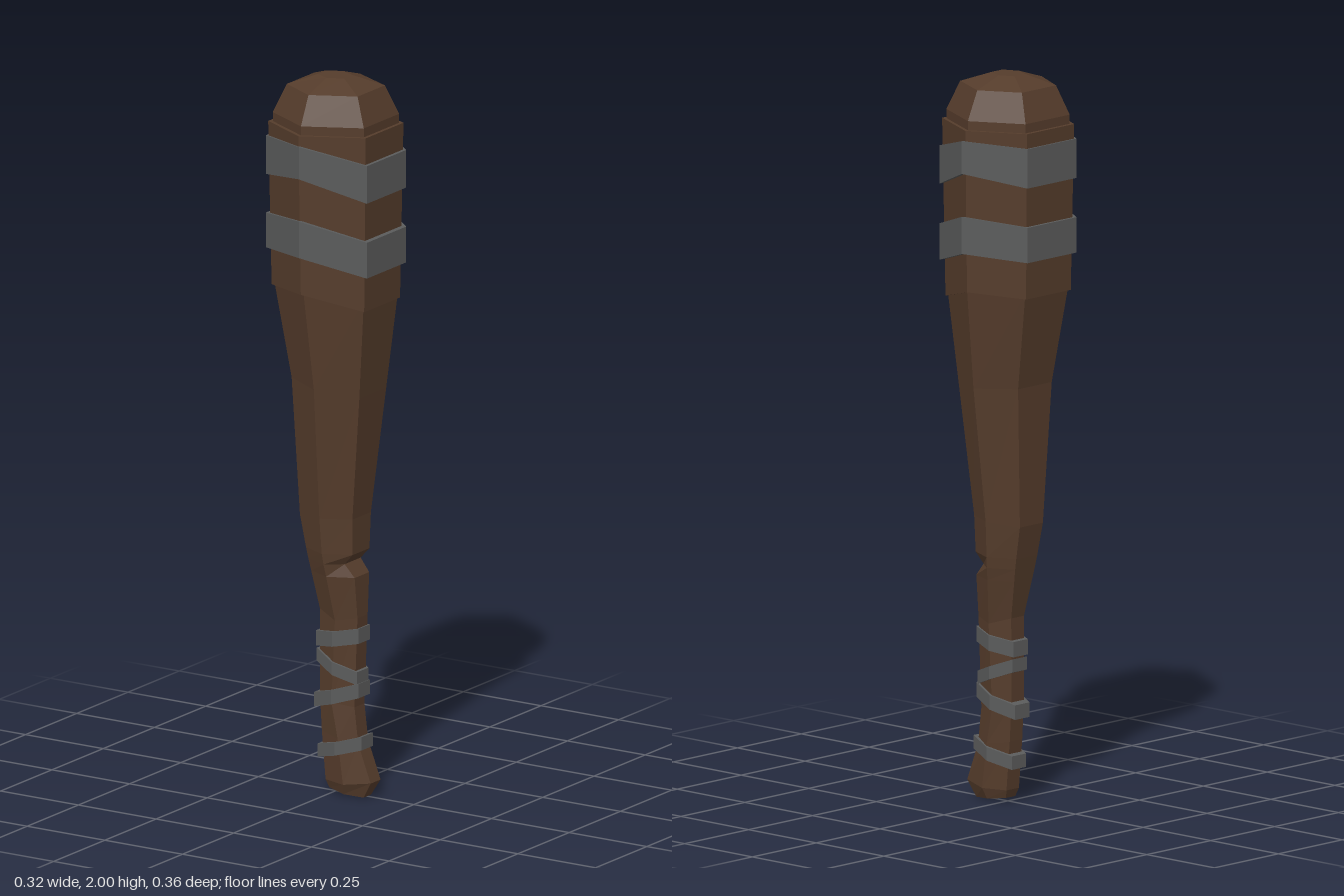
import * as THREE from 'three';

const wood = new THREE.MeshStandardMaterial({ color: 0x553c2b });
wood.name = 'dark wood';
const iron = new THREE.MeshStandardMaterial({ color: 0x5a5b5b });
iron.name = 'grey binding';

// Six corners of a cross-section: points at +z and -z, flat sides at +x and -x.
// Each ring is [leftX, leftY, middleX, middleY, rightX, rightY, halfDepth].
function corners([xl, yl, xm, ym, xr, yr, rz]) {
  const h = rz * 0.53;
  return [
    [xm, ym, rz], [xr, yr, h], [xr, yr, -h],
    [xm, ym, -rz], [xl, yl, -h], [xl, yl, h],
  ].map((p) => new THREE.Vector3(...p));
}

// Closed faceted solid through rings listed from bottom to top.
function loft(name, rings, material) {
  const loops = rings.map(corners);
  const centre = (loop) =>
    loop.reduce((sum, p) => sum.add(p), new THREE.Vector3()).divideScalar(loop.length);
  const bottom = loops[0];
  const top = loops[loops.length - 1];
  const cb = centre(bottom);
  const ct = centre(top);
  const points = [];
  for (let i = 0; i < 6; i++) {
    const j = (i + 1) % 6;
    points.push(cb, bottom[j], bottom[i], ct, top[i], top[j]);
    for (let k = 0; k < loops.length - 1; k++) {
      const a = loops[k], b = loops[k + 1];
      points.push(a[i], a[j], b[j], a[i], b[j], b[i]);
    }
  }
  const geometry = new THREE.BufferGeometry().setFromPoints(points);
  geometry.computeVertexNormals();
  const mesh = new THREE.Mesh(geometry, material);
  mesh.name = name;
  return mesh;
}

// Flat strap around the club; heights are given at its left, middle and right.
function strap(name, xl, xr, rz, low, high) {
  const xm = (xl + xr) / 2;
  const ring = ([l, m, r]) => [xl, l, xm, m, xr, r, rz];
  return loft(name, [ring(low), ring(high)], iron);
}

export function createModel() {
  const club = new THREE.Group();
  club.name = 'club';

  // Crooked handle and tapering shaft, with a nick on the +x side
  club.add(loft('shaft', [
    [-0.01, 0.012, 0.045, 0.005, 0.1, 0, 0.034],
    [-0.018, 0.035, 0.052, 0.035, 0.127, 0.045, 0.046],
    [-0.03, 0.17, 0.035, 0.16, 0.087, 0.15, 0.046],
    [-0.036, 0.27, 0.015, 0.26, 0.075, 0.25, 0.046],
    [-0.036, 0.51, 0.027, 0.49, 0.085, 0.5, 0.047],
    [-0.057, 0.615, 0.012, 0.615, 0.083, 0.615, 0.067],
    [-0.064, 0.65, 0.008, 0.65, 0.053, 0.65, 0.074],
    [-0.07, 0.68, 0.005, 0.68, 0.08, 0.68, 0.078],
    [-0.087, 0.77, 0.002, 0.78, 0.082, 0.78, 0.085],
    [-0.1, 1.155, 0.01, 1.15, 0.118, 1.13, 0.124],
    [-0.145, 1.43, 0, 1.43, 0.145, 1.41, 0.16],
  ], wood));

  // Thick sleeve around the head
  club.add(loft('headSleeve', [
    [-0.15, 1.412, -0.005, 1.423, 0.148, 1.38, 0.165],
    [-0.158, 1.868, -0.007, 1.868, 0.156, 1.868, 0.174],
  ], wood));

  // Faceted rounded tip
  club.add(loft('headTip', [
    [-0.147, 1.85, -0.006, 1.85, 0.146, 1.85, 0.163],
    [-0.147, 1.893, -0.006, 1.893, 0.146, 1.893, 0.163],
    [-0.115, 1.972, -0.006, 1.972, 0.113, 1.972, 0.126],
    [-0.045, 2, -0.004, 2, 0.04, 2, 0.04],
  ], wood));

  // Two broad straps on the head
  club.add(strap('upperHeadStrap', -0.163, 0.162, 0.181,
    [1.72, 1.75, 1.687], [1.828, 1.84, 1.792]));
  club.add(strap('lowerHeadStrap', -0.163, 0.162, 0.181,
    [1.515, 1.53, 1.478], [1.612, 1.632, 1.578]));

  // Narrow slanting wraps on the grip: left x, right x, left base, right base, height
  [
    [-0.047, 0.09, 0.405, 0.43, 0.042],
    [-0.044, 0.085, 0.363, 0.314, 0.036],
    [-0.053, 0.09, 0.234, 0.278, 0.04],
    [-0.041, 0.1, 0.095, 0.134, 0.037],
  ].forEach(([xl, xr, l, r, h], i) => {
    const low = [l, (l + r) / 2, r];
    club.add(strap(`gripWrap${i + 1}`, xl, xr, 0.053, low, low.map((y) => y + h)));
  });

  return club;
}
